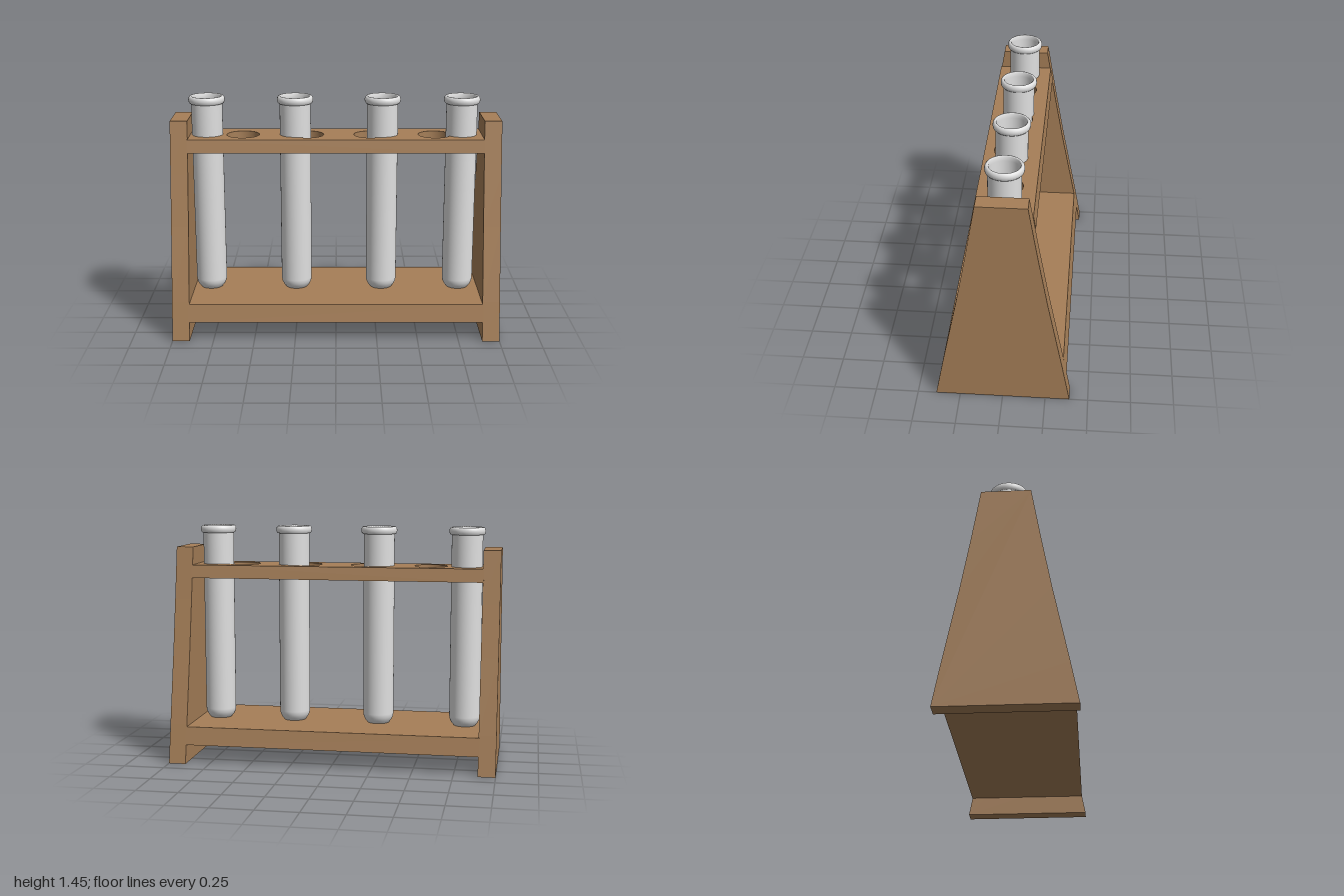
import * as THREE from 'three';
import { toCreasedNormals } from 'three/addons/utils/BufferGeometryUtils.js';

const wood = new THREE.MeshStandardMaterial({ color: 0xa67f58 });
wood.name = 'wood';
const glass = new THREE.MeshStandardMaterial({ color: 0xe0e0e0 });
glass.name = 'pale glass';

// Half depth of the rack at each height: [z, y]
const profile = [[0.392, 0], [0.346, 0.24], [0.255, 0.69], [0.198, 1.0], [0.143, 1.32]];

// Extrudes a symmetric cross-section along x, centred on x = 0
function extrudeAlongX(half, width) {
  const pts = [
    ...half.map(([z, y]) => new THREE.Vector2(z, y)),
    ...half.slice().reverse().map(([z, y]) => new THREE.Vector2(-z, y)),
  ];
  const geo = new THREE.ExtrudeGeometry(new THREE.Shape(pts), { depth: width, bevelEnabled: false });
  return geo.rotateY(Math.PI / 2).translate(-width / 2, 0, 0);
}

// Shelf with four round holes; its long edges lean with the side panels
function shelfGeometry() {
  const w = 0.9, bottom = 1.13, height = 0.08, zBottom = 0.18, zTop = 0.166;
  const shape = new THREE.Shape([[-w, -zBottom], [w, -zBottom], [w, zBottom], [-w, zBottom]]
    .map(([x, y]) => new THREE.Vector2(x, y)));
  for (const x of [-0.57, -0.175, 0.21, 0.605]) {
    shape.holes.push(new THREE.Path().absarc(x, -0.01, 0.1, 0, Math.PI * 2, true));
  }
  const geo = new THREE.ExtrudeGeometry(shape, { depth: height, bevelEnabled: false, curveSegments: 32 });
  geo.rotateX(-Math.PI / 2).translate(0, bottom, 0);
  const p = geo.attributes.position;
  for (let i = 0; i < p.count; i++) {
    if (Math.abs(p.getZ(i)) > 0.15 && p.getY(i) > bottom + height / 2) {
      p.setZ(i, Math.sign(p.getZ(i)) * zTop);
    }
  }
  return toCreasedNormals(geo, 0.6);
}

// Hollow test tube: rounded bottom, rolled lip, inner wall
function tubeGeometry() {
  const r = 0.095, inner = 0.087, pts = [];
  for (let i = 0; i <= 6; i++) {
    const a = (i / 6) * Math.PI / 2;
    pts.push([r * Math.sin(a), 0.285 - 0.085 * Math.cos(a)]);
  }
  pts.push([r, 1.405], [0.102, 1.405], [0.108, 1.412], [0.111, 1.427], [0.108, 1.441],
    [0.101, 1.449], [0.094, 1.45], [0.088, 1.445], [inner, 1.42]);
  for (let i = 6; i >= 0; i--) {
    const a = (i / 6) * Math.PI / 2;
    pts.push([inner * Math.sin(a), 0.285 - 0.077 * Math.cos(a)]);
  }
  return new THREE.LatheGeometry(pts.map(([x, y]) => new THREE.Vector2(x, y)), 40);
}

export function createModel() {
  const model = new THREE.Group();
  model.name = 'testTubeRack';
  const add = (name, geo, mat, x = 0) => {
    const mesh = new THREE.Mesh(geo, mat);
    mesh.name = name;
    mesh.position.x = x;
    model.add(mesh);
    return mesh;
  };

  // Wooden frame
  const panel = extrudeAlongX(profile, 0.105);
  add('rightSidePanel', panel, wood, -0.9475);
  add('leftSidePanel', panel, wood, 0.9475);
  add('baseBoard', extrudeAlongX([[0.37, 0.115], [0.349, 0.225]], 1.8), wood);
  add('shelf', shelfGeometry(), wood);

  // Test tubes
  const tube = tubeGeometry();
  [-0.79, -0.25, 0.285, 0.77].forEach((x, i) => add(`testTube${i + 1}`, tube, glass, x));
  return model;
}
